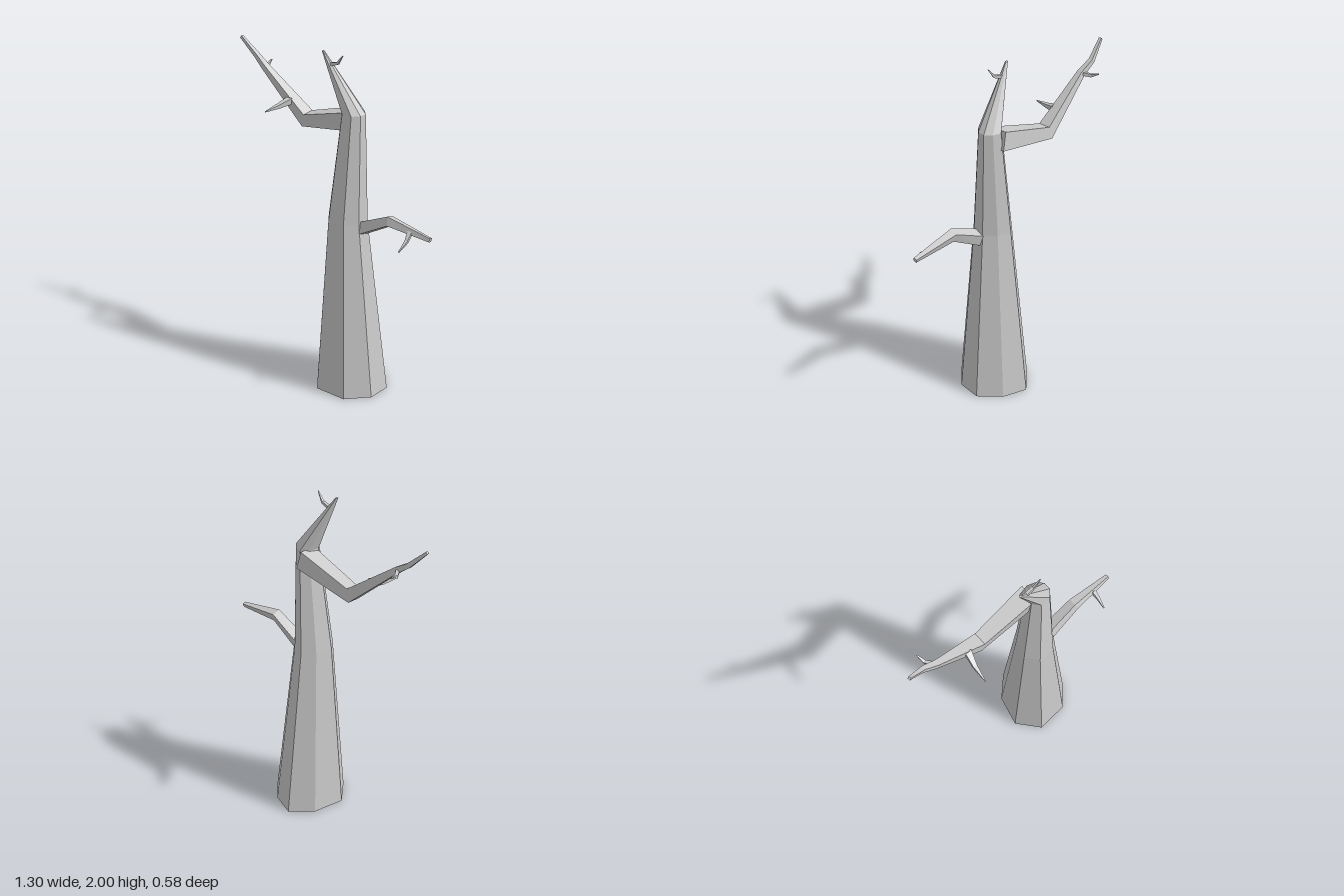
import * as THREE from 'three';

const material = new THREE.MeshStandardMaterial({
  color: 0xcccccc, flatShading: true, side: THREE.DoubleSide,
});

// Skins a list of rings (counter-clockwise about the growth direction) and caps the last one
function loft(name, rings, capStart = false) {
  const pos = [];
  const tri = (...pts) => pts.forEach((p) => pos.push(p.x, p.y, p.z));
  const n = rings[0].length;
  for (let r = 0; r < rings.length - 1; r++) {
    const a = rings[r], b = rings[r + 1];
    for (let i = 0; i < n; i++) {
      const j = (i + 1) % n;
      tri(a[i], a[j], b[j]);
      tri(a[i], b[j], b[i]);
    }
  }
  const end = rings[rings.length - 1];
  for (let i = 1; i < n - 1; i++) {
    tri(end[0], end[i], end[i + 1]);
    if (capStart) tri(rings[0][0], rings[0][i + 1], rings[0][i]);
  }
  const geometry = new THREE.BufferGeometry();
  geometry.setAttribute('position', new THREE.Float32BufferAttribute(pos, 3));
  geometry.computeVertexNormals();
  const mesh = new THREE.Mesh(geometry, material);
  mesh.name = name;
  return mesh;
}

// Tapered limb along stations [x, y, z, radius], with rings square to the path
function limb(name, stations, sides = 4, phase = 0.7) {
  const c = stations.map(([x, y, z]) => new THREE.Vector3(x, y, z));
  const rings = stations.map(([, , , radius], k) => {
    const t = new THREE.Vector3();
    if (k > 0) t.add(c[k].clone().sub(c[k - 1]).normalize());
    if (k < c.length - 1) t.add(c[k + 1].clone().sub(c[k]).normalize());
    t.normalize();
    const u = t.clone().cross(new THREE.Vector3(0, 1, 0)).normalize();
    const v = t.clone().cross(u);
    return Array.from({ length: sides }, (_, i) => {
      const a = phase + (i / sides) * Math.PI * 2;
      return c[k].clone().addScaledVector(u, radius * Math.cos(a)).addScaledVector(v, radius * Math.sin(a));
    });
  });
  return loft(name, rings, true);
}

export function createModel() {
  const tree = new THREE.Group();
  tree.name = 'bareTree';

  // Trunk: one uneven octagon, shrunk and shifted up to a bent point, open below
  const outline = [[0.03, 0.22], [0.17, 0.14], [0.218, 0.01], [0.148, -0.13],
    [0.028, -0.22], [-0.117, -0.15], [-0.218, 0.01], [-0.157, 0.17]];
  const levels = [[0.137, 0, 0.02, 1], [0.112, 1.06, 0.04, 0.53],
    [0.14, 1.68, 0.038, 0.31], [-0.037, 2, 0.037, 0.035]];
  tree.add(loft('trunk', levels.map(([x, y, z, s]) =>
    outline.map(([ox, oz]) => new THREE.Vector3(x + ox * s, y, z + oz * s)))));

  // Long upper branch with two twigs
  const upper = new THREE.Group();
  upper.name = 'upperBranch';
  upper.add(
    limb('upperBranchLimb', [[0.13, 1.63, 0, 0.075], [-0.2, 1.547, -0.117, 0.054],
      [-0.48, 1.79, -0.187, 0.024], [-0.55, 1.845, -0.217, 0.018], [-0.645, 1.94, -0.224, 0.011]]),
    limb('upperInnerTwig', [[-0.3, 1.64, -0.12, 0.026], [-0.345, 1.62, -0.05, 0.016],
      [-0.385, 1.61, 0.035, 0.003]]),
    limb('upperOuterTwig', [[-0.48, 1.79, -0.19, 0.014], [-0.495, 1.783, -0.245, 0.012],
      [-0.49, 1.803, -0.29, 0.004]]),
  );
  tree.add(upper);

  // Short lower branch with one drooping twig
  const lower = new THREE.Group();
  lower.name = 'lowerBranch';
  lower.add(
    limb('lowerBranchLimb', [[0.16, 1.01, 0.065, 0.05], [0.22, 1.035, 0.08, 0.046],
      [0.39, 1.13, 0.14, 0.036], [0.645, 1.098, 0.218, 0.015]], 4, 0.5),
    limb('lowerTwig', [[0.522, 1.11, 0.19, 0.018], [0.516, 1.07, 0.23, 0.012],
      [0.493, 1.03, 0.285, 0.004]]),
  );
  tree.add(lower);

  // Small twig near the top
  tree.add(limb('topTwig', [[0, 1.93, 0.04, 0.014], [0.055, 1.948, 0.06, 0.01], [0.09, 1.998, 0.077, 0.003]]));
  return tree;
}
